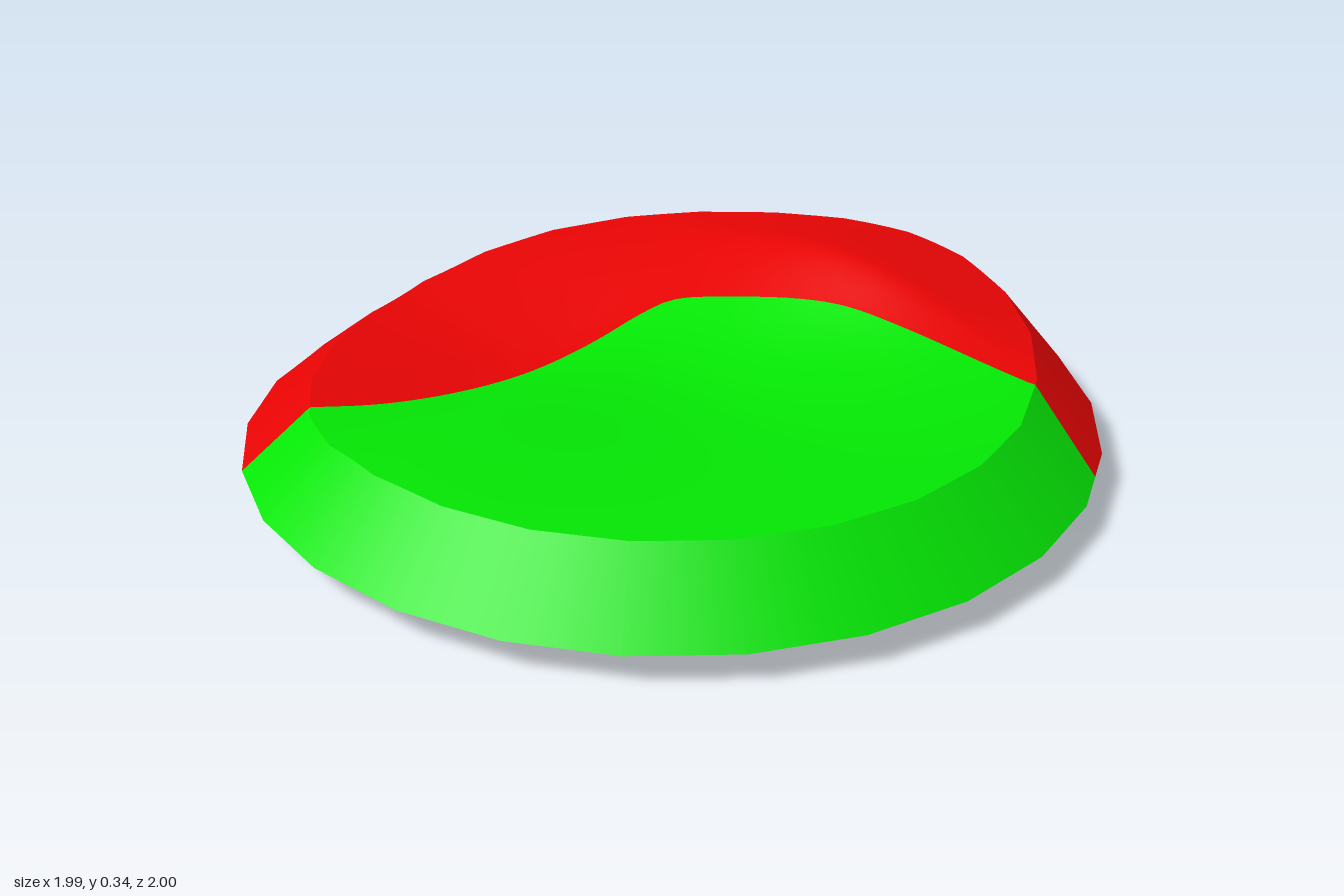
import * as THREE from 'three';
import { mergeVertices } from 'three/addons/utils/BufferGeometryUtils.js';

const SIDES = 26, TOP_R = 0.84, STEP = 0.25;
const red = new THREE.MeshStandardMaterial({ color: 0xe60404 });
red.name = 'red';
const green = new THREE.MeshStandardMaterial({ color: 0x04e604 });
green.name = 'green';

// distance from a centre, with separate falloffs to each side
function spread(x, z, cx, cz, left, right, back, front) {
  const dx = x - cx, dz = z - cz;
  return Math.hypot(dx / (dx < 0 ? left : right), dz / (dz < 0 ? back : front));
}
// ridge at the back: rounded along x, straighter slopes along z
function hill(x, z) {
  const dx = (x - 0.07) / 0.46, dz = z + 0.53;
  return 0.115 * Math.exp(-dx * dx - Math.abs(dz / (dz < 0 ? 0.454 : 0.215)) ** 1.4);
}
const bowl = (x, z) => 0.05 * Math.exp(-(spread(x, z, 0.05, 0.05, 0.45, 0.45, 0.35, 0.45) ** 2));
const trough = (x, z) => 0.085 * Math.exp(-(spread(x, z, -0.4, 0.25, 0.9, 0.25, 0.45, 0.7) ** 2));
const topY = (x, z) => 0.23 + hill(x, z) - bowl(x, z) - trough(x, z);
const baseY = (x, z) => 0.07 + 0.6 * hill(x, z) * Math.hypot(x, z) ** 4
  - 0.07 * Math.exp(-(spread(x, z, -0.38, 0.17, 0.8, 0.28, 0.3, 0.5) ** 1.7));

// point on the many-sided rim; u counts sides clockwise from the back
function rim(u, r) {
  const corner = k => {
    const a = k * 2 * Math.PI / SIDES;
    return new THREE.Vector2(r * Math.sin(a), -r * Math.cos(a));
  };
  const k = Math.floor(u);
  return corner(k).lerp(corner(k + 1), u - k);
}
const raise = (p, f) => [p.x, f(p.x, p.y), p.y];
function line(a, b, n, f) {
  return Array.from({ length: n + 1 }, (_, i) => raise(a.clone().lerp(b, i / n), f));
}

// skin over neighbouring columns of points
function skin(columns) {
  const pos = columns.flat(2), idx = [], n = columns[0].length;
  for (let i = 0; i < columns.length - 1; i++) {
    for (let j = 0; j < n - 1; j++) {
      const a = i * n + j, b = a + n;
      idx.push(a, b + 1, a + 1, a, b, b + 1);
    }
  }
  let g = new THREE.BufferGeometry();
  g.setAttribute('position', new THREE.Float32BufferAttribute(pos, 3));
  g.setIndex(idx);
  g = mergeVertices(g, 1e-5);
  g.computeVertexNormals();
  return g;
}

// top normals follow the height rule, so the two colours join smoothly
function smoothTop(g) {
  const p = g.attributes.position, e = 0.02, n = new THREE.Vector3();
  for (let i = 0; i < p.count; i++) {
    const x = p.getX(i), z = p.getZ(i);
    n.set(topY(x - e, z) - topY(x + e, z), 2 * e, topY(x, z - e) - topY(x, z + e)).normalize();
    g.attributes.normal.setXYZ(i, n.x, n.y, n.z);
  }
  return g;
}

// side normals point straight out from the slope, turning evenly round the rim
function smoothSide(g) {
  const p = g.attributes.position, n = new THREE.Vector3();
  for (let i = 0; i < p.count; i++) {
    n.set(p.getX(i), 0, p.getZ(i)).normalize().setY(1).normalize();
    g.attributes.normal.setXYZ(i, n.x, n.y, n.z);
  }
  return g;
}

// where the colours meet on the rim, as [top u, base u]
const RIGHT = [4.11, 4.45], FRONT = [15.23, 15];
const RIGHT_NEXT = RIGHT.map(u => u + SIDES);

function range(start, end) {
  const list = [start];
  for (let u = Math.ceil((start + 0.001) / STEP) * STEP; u < end - 0.001; u += STEP) list.push(u);
  return [...list, end];
}
function wall(start, end) {
  const lo = Math.max(...start), hi = Math.min(...end);
  const pairs = [start, ...range(lo, hi).slice(1, -1).map(u => [u, u])];
  if (hi % 1 === 0) pairs.push([hi, hi]);
  pairs.push(end);
  return smoothSide(skin(pairs.map(([t, b]) => [raise(rim(t, TOP_R), topY), raise(rim(b, 1), baseY)])));
}

export function createModel() {
  const group = new THREE.Group();
  const add = (name, geometry, material) => {
    const mesh = new THREE.Mesh(geometry, material);
    mesh.name = name;
    group.add(mesh);
  };

  // colour border across the top, from front left round to back right
  const border = new THREE.CatmullRomCurve3([
    [-0.43, 0.72], [-0.35, 0.55], [-0.3, 0.35], [-0.28, 0], [-0.27, -0.15], [-0.24, -0.23],
    [-0.1, -0.3], [0.15, -0.385], [0.35, -0.415], [0.7, -0.455],
  ].map(([x, z]) => new THREE.Vector3(x, 0, z)), false, 'centripetal');
  const redU = range(FRONT[0], RIGHT_NEXT[0]);
  const borderAt = u => {
    const t = (u - FRONT[0]) / (RIGHT_NEXT[0] - FRONT[0]);
    if (t <= 0) return rim(FRONT[0], TOP_R);
    if (t >= 1) return rim(RIGHT[0], TOP_R);
    const p = border.getPointAt(t);
    return new THREE.Vector2(p.x, p.z);
  };

  // red upper surface
  add('redTop', smoothTop(skin(redU.map(u => line(borderAt(u), rim(u, TOP_R), 16, topY)))), red);

  // green upper surface, fanned out from an inner point
  const heart = new THREE.Vector2(0.3, 0.2);
  const outline = [
    ...range(RIGHT[0], FRONT[0]).map(u => rim(u, TOP_R)),
    ...redU.slice(1).map(borderAt),
  ];
  add('greenTop', smoothTop(skin(outline.map(p => line(heart, p, 18, topY)))), green);

  // sloping sides
  add('greenSide', wall(RIGHT, FRONT), green);
  add('redSide', wall(FRONT, RIGHT_NEXT), red);

  // underside with its low bulge
  const low = new THREE.Vector2(-0.38, 0.17);
  add('underside', skin(range(0, SIDES).map(u => line(rim(u, 1), low, 18, baseY))), green);

  return group;
}
